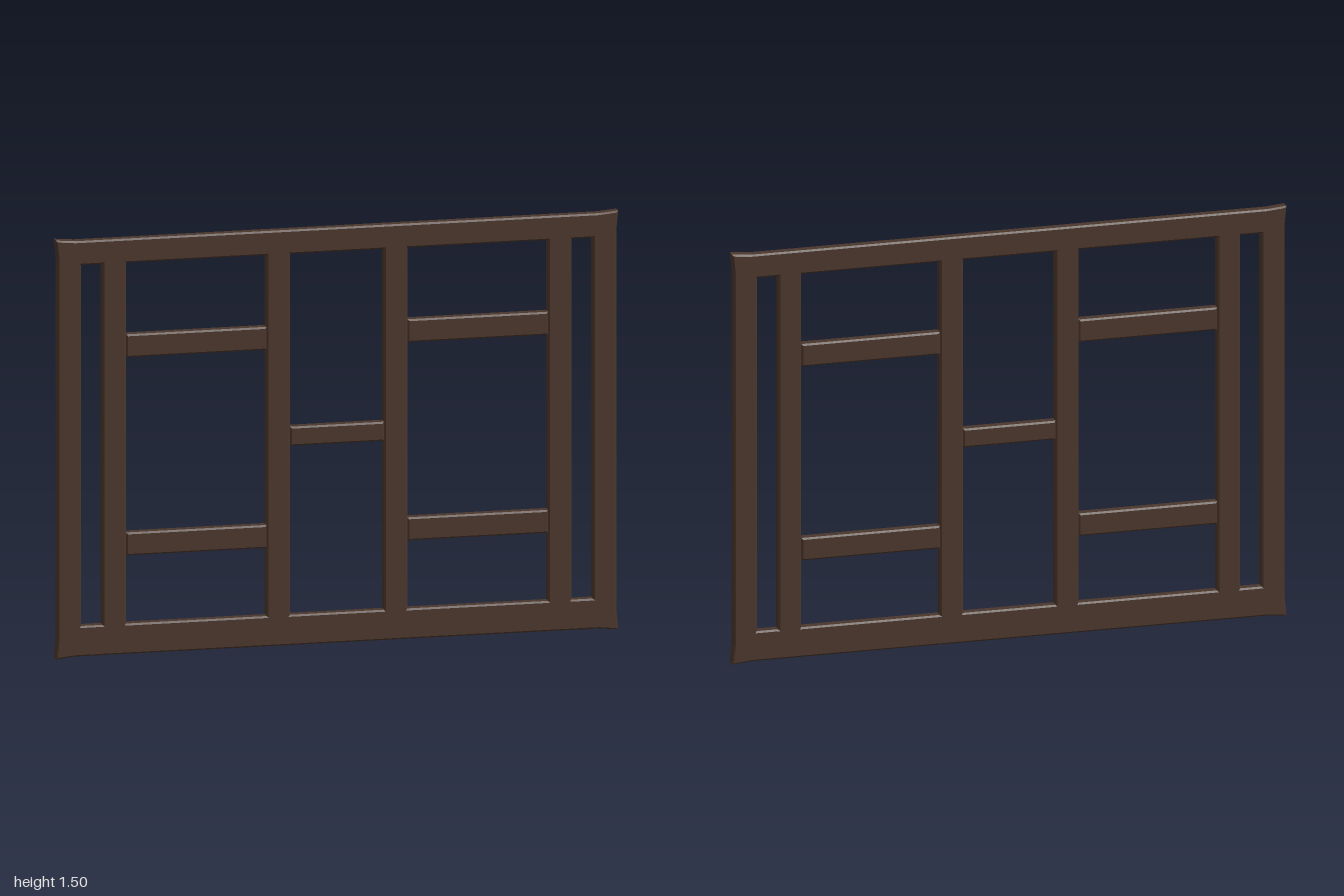
import * as THREE from 'three';

const DEPTH = 0.041, BEVEL = 0.006;

export function createModel() {
  const group = new THREE.Group();
  const wood = new THREE.MeshStandardMaterial({ color: 0x4a362b, flatShading: true });

  // Extrudes an outline to full depth with small chamfers that stay inside it
  const addPart = (name, shape) => {
    const geo = new THREE.ExtrudeGeometry(shape, {
      depth: DEPTH - 2 * BEVEL, bevelEnabled: true, bevelThickness: BEVEL,
      bevelSize: BEVEL, bevelOffset: -BEVEL, bevelSegments: 1,
    });
    geo.translate(0, 0, BEVEL - DEPTH / 2);
    const mesh = new THREE.Mesh(geo, wood);
    mesh.name = name;
    group.add(mesh);
  };
  const rect = (x0, x1, y0, y1) => [[x0, y0], [x1, y0], [x1, y1], [x0, y1]]
    .map(([x, y]) => new THREE.Vector2(x, y));

  // Outer frame and uprights: outline with slightly flared corners, five openings
  const right = [[0.93, 0.007], [1, 0], [0.993, 0.07], [0.993, 1.425], [1, 1.495], [0.93, 1.489]];
  const left = right.map(([x, y]) => [-x, y]).reverse();
  const frame = new THREE.Shape([...right, ...left].map(([x, y]) => new THREE.Vector2(x, y)));
  const openings = [[-0.91, -0.833], [-0.75, -0.25], [-0.167, 0.167], [0.25, 0.75], [0.833, 0.91]];
  for (const [x0, x1] of openings) {
    frame.holes.push(new THREE.Path(rect(x0, x1, 0.115, 1.403).reverse()));
  }
  addPart('frame', frame);

  // Cross rails between the uprights
  for (const [side, x0, x1] of [['right', -0.75, -0.25], ['left', 0.25, 0.75]]) {
    addPart(side + 'UpperRail', new THREE.Shape(rect(x0, x1, 1.065, 1.147)));
    addPart(side + 'LowerRail', new THREE.Shape(rect(x0, x1, 0.358, 0.44)));
  }
  addPart('centreRail', new THREE.Shape(rect(-0.167, 0.167, 0.718, 0.786)));

  return group;
}
